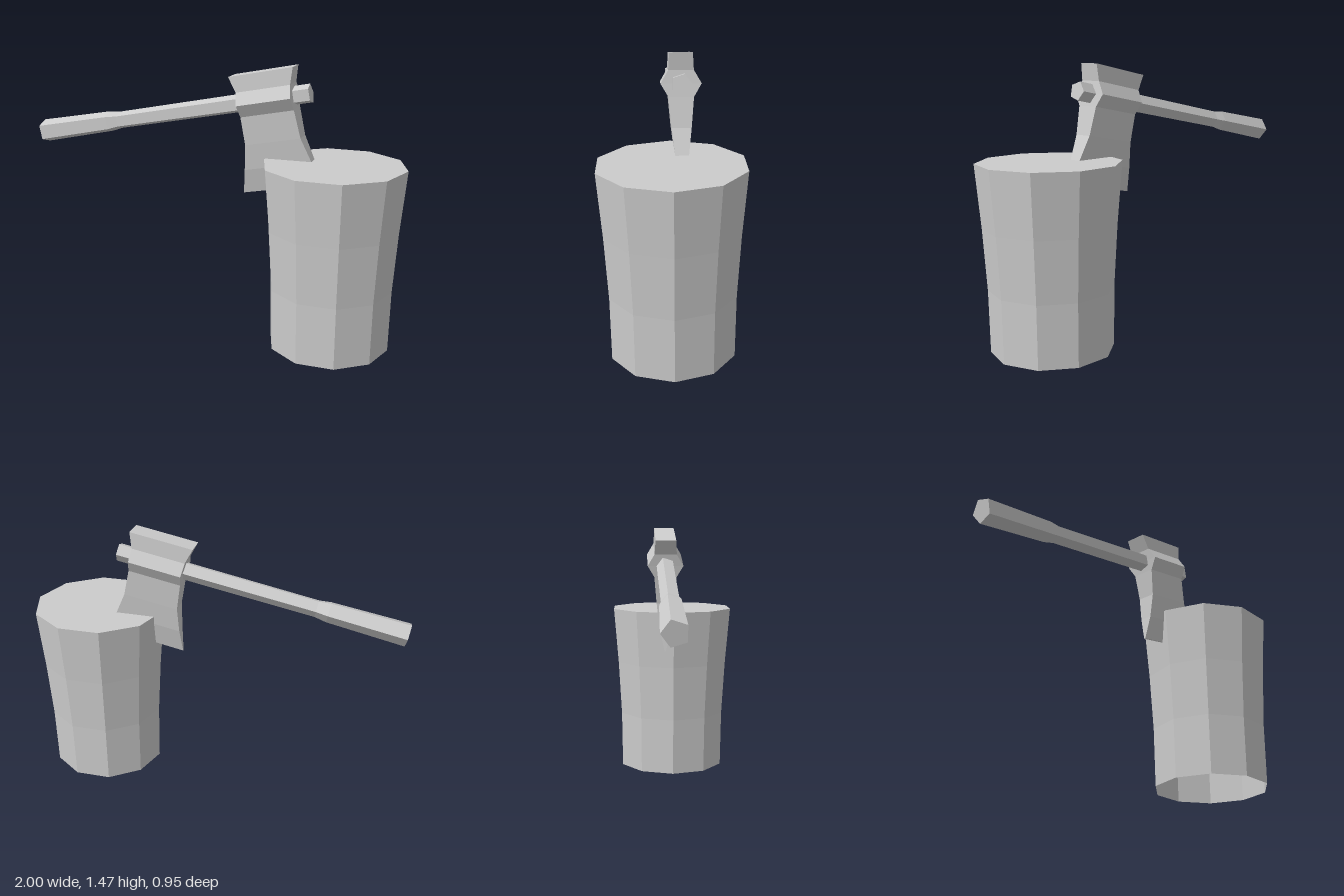
import * as THREE from 'three';

// Skin a list of equal-sized rings (ordered counter-clockwise along the path) and cap both ends
function loft(rings) {
  const n = rings[0].length, last = rings.length - 1, pos = [];
  const tri = (...pts) => pts.forEach((p) => pos.push(...p));
  for (let k = 0; k < last; k++) {
    for (let i = 0; i < n; i++) {
      const j = (i + 1) % n, A = rings[k], B = rings[k + 1];
      tri(A[i], A[j], B[j]);
      tri(A[i], B[j], B[i]);
    }
  }
  for (let i = 1; i < n - 1; i++) {
    tri(rings[0][0], rings[0][i + 1], rings[0][i]);
    tri(rings[last][0], rings[last][i], rings[last][i + 1]);
  }
  const g = new THREE.BufferGeometry();
  g.setAttribute('position', new THREE.Float32BufferAttribute(pos, 3));
  g.computeVertexNormals();
  return g;
}

export function createModel() {
  const model = new THREE.Group();
  const grey = new THREE.MeshStandardMaterial({ color: 0xcccccc, flatShading: true, side: THREE.DoubleSide });
  grey.name = 'plain grey';
  const add = (parent, name, geometry) => {
    const mesh = new THREE.Mesh(geometry, grey);
    mesh.name = name;
    parent.add(mesh);
    return mesh;
  };

  // Ten-sided stump, flaring towards a flat top and open underneath
  const profile = [[0.32, 0], [0.325, 0.33], [0.344, 0.65], [0.372, 0.98], [0, 0.98]];
  const stump = add(model, 'stump', new THREE.LatheGeometry(
    profile.map(([r, y]) => new THREE.Vector2(r, y)), 10, THREE.MathUtils.degToRad(2)).toNonIndexed());
  stump.geometry.computeVertexNormals();
  stump.position.set(0.642, 0, -0.11);

  // Axe frame: x along the handle, y from edge to poll, z through the thickness
  const axe = new THREE.Group();
  axe.name = 'axe';
  const along = new THREE.Vector3(0.922, 0.192, -0.334).normalize();
  const across = new THREE.Vector3(0, 1, 0).cross(along).negate().normalize();
  const upward = across.clone().cross(along);
  axe.quaternion.setFromRotationMatrix(new THREE.Matrix4().makeBasis(along, upward, across));
  axe.position.set(0.275, 1.285, -0.035);
  model.add(axe);

  // Five-sided handle with a thicker grip: [position, radius]
  const stations = [[-1.357, 0.066], [-0.935, 0.058], [-0.87, 0.048], [0.23, 0.051]];
  add(axe, 'handle', loft(stations.map(([x, r]) =>
    Array.from({ length: 5 }, (_, i) => {
      const t = -Math.PI / 2 + (i * 2 * Math.PI) / 5;
      return [x, r * Math.cos(t), r * Math.sin(t)];
    }))));

  // Head from cutting edge up to poll: [height, half width, half thickness]
  const rows = [
    [-0.478, 0.222, 0.004], [-0.35, 0.184, 0.033], [-0.215, 0.151, 0.049], [-0.065, 0.145, 0.062],
    [0, 0.145, 0.1], [0.065, 0.147, 0.062], [0.15, 0.174, 0.057],
  ];
  add(axe, 'axeHead', loft(rows.map(([y, w, t]) => [[w, y, t], [w, y, -t], [-w, y, -t], [-w, y, t]])));

  return model;
}
